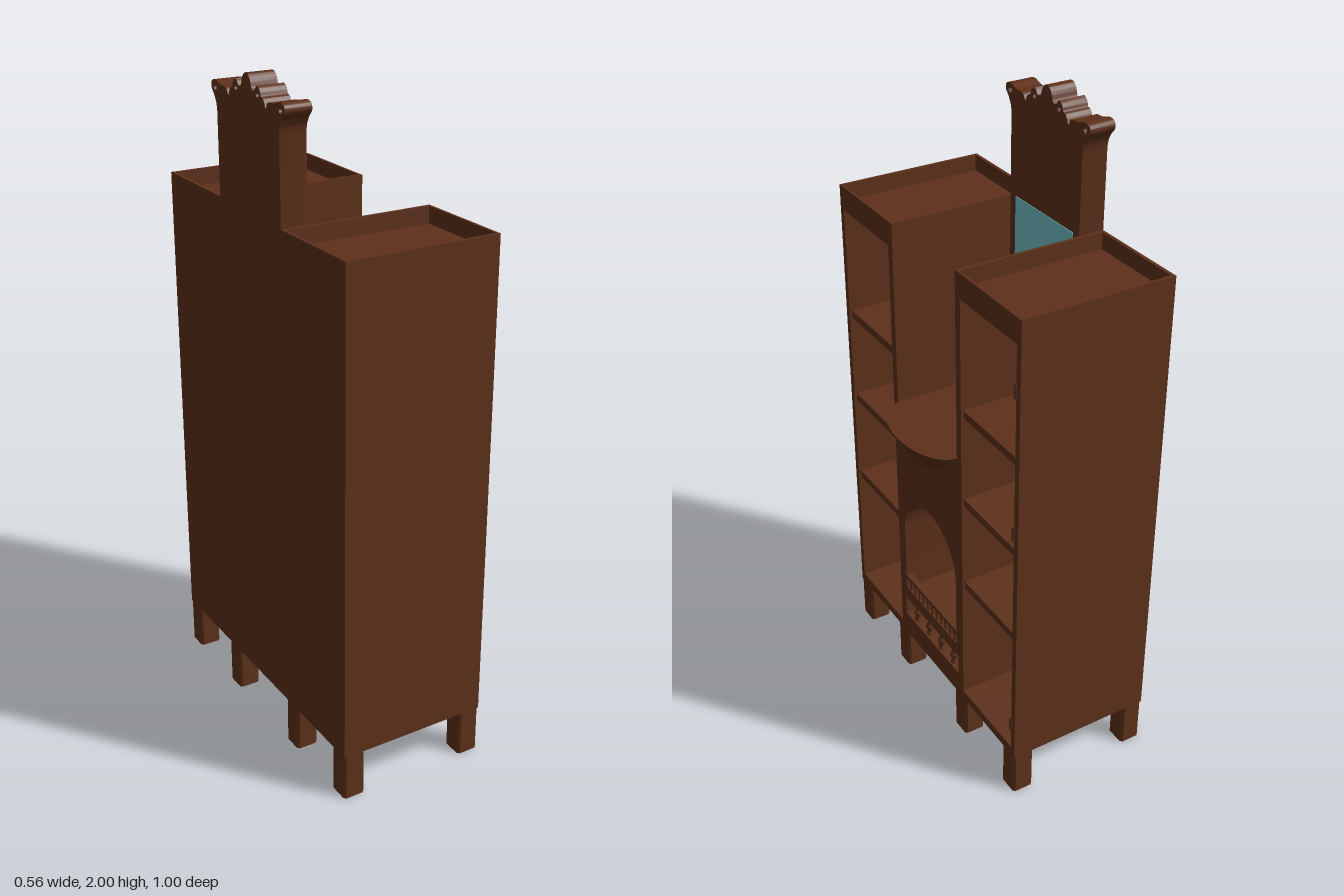
import * as THREE from 'three';
import { toCreasedNormals } from 'three/addons/utils/BufferGeometryUtils.js';

const wood = new THREE.MeshStandardMaterial({ color: 0x5e311b });
const glass = new THREE.MeshStandardMaterial({ color: 0x74c4cc });

const BACK = -0.285, FRONT = 0.185, BASE = 0.145, MANTEL = 1.04;
const HALF = 0.175; // half width of the centre bay

function add(parent, name, geometry, material = wood) {
  const mesh = new THREE.Mesh(geometry, material);
  mesh.name = name;
  parent.add(mesh);
  return mesh;
}

// Box given by its limits on each axis
function box(parent, name, x0, x1, y0, y1, z0, z1, material) {
  const g = new THREE.BoxGeometry(Math.abs(x1 - x0), y1 - y0, z1 - z0);
  g.translate((x0 + x1) / 2, (y0 + y1) / 2, (z0 + z1) / 2);
  return add(parent, name, g, material);
}

function extrude(shape, z0, z1) {
  const g = new THREE.ExtrudeGeometry(shape, { depth: z1 - z0, bevelEnabled: false, curveSegments: 24 });
  return toCreasedNormals(g.translate(0, 0, z0), 0.6);
}

function rectPath(x0, x1, y0, y1) {
  return new THREE.Path([[x0, y0], [x0, y1], [x1, y1], [x1, y0]].map(p => new THREE.Vector2(...p)));
}

// Open bookcase tower with a tray top; s is the side (+1 or -1)
function tower(s, top) {
  const g = new THREE.Group();
  g.name = s > 0 ? 'rightTower' : 'leftTower';
  const lid = top - 0.05, head = top - 0.075;
  box(g, 'outerSide', s * 0.48, s * 0.5, BASE, lid, BACK, FRONT);
  box(g, 'innerSide', s * HALF, s * 0.2, BASE, lid, BACK, FRONT);
  box(g, 'backPanel', s * 0.2, s * 0.48, BASE, lid, BACK, BACK + 0.015);
  box(g, 'bottomPanel', s * 0.2, s * 0.48, BASE, 0.175, BACK + 0.015, FRONT);
  box(g, 'topPanel', s * 0.2, s * 0.48, head, lid, BACK + 0.015, FRONT);
  // Raised rim round the top
  box(g, 'outerRim', s * 0.49, s * 0.5, lid, top, BACK, FRONT);
  box(g, 'innerRim', s * HALF, s * 0.186, lid, top, BACK, FRONT);
  box(g, 'backRim', s * 0.186, s * 0.49, lid, top, BACK, BACK + 0.01);
  box(g, 'frontRim', s * 0.186, s * 0.49, lid, top, FRONT - 0.008, FRONT);
  for (const y of [0.585, 0.885, 1.185]) {
    box(g, 'shelf', s * 0.2, s * 0.48, y, y + 0.025, BACK + 0.015, FRONT - 0.008);
  }
  for (const y of [0.27, 0.97, 1.42]) {
    add(g, 'hinge', new THREE.CylinderGeometry(0.005, 0.005, 0.045, 10)).position.set(s * 0.477, y, FRONT);
  }
  return g;
}

// Chimney block with arched hearth, grate and a baluster slot
function hearth() {
  const g = new THREE.Group();
  g.name = 'hearth';
  const face = new THREE.Shape([[-HALF, BASE], [HALF, BASE], [HALF, MANTEL], [-HALF, MANTEL]]
    .map(p => new THREE.Vector2(...p)));
  const arch = new THREE.Path();
  arch.moveTo(-0.16, 0.34).lineTo(0.16, 0.34).lineTo(0.16, 0.58);
  arch.absarc(0, 0.58, 0.16, 0, Math.PI, false);
  arch.lineTo(-0.16, 0.34);
  face.holes.push(arch, rectPath(-0.17, 0.17, 0.225, 0.295));
  add(g, 'chimneyBlock', extrude(face, -0.22, FRONT));
  box(g, 'hearthBack', -HALF, HALF, BASE, MANTEL, BACK, -0.22);

  // Grate
  box(g, 'grateRail', -0.16, 0.16, 0.378, 0.39, FRONT - 0.02, FRONT);
  for (let i = 0; i < 11; i++) {
    const x = -0.14 + i * 0.028;
    box(g, 'grateBar', x - 0.005, x + 0.005, 0.34, 0.378, FRONT - 0.015, FRONT - 0.003);
  }

  // Balusters in front of the lower slot
  box(g, 'slotBack', -0.17, 0.17, 0.225, 0.295, FRONT - 0.09, FRONT - 0.07);
  const profile = [[0.011, 0], [0.011, 0.008], [0.005, 0.014], [0.014, 0.03], [0.012, 0.038],
    [0.005, 0.05], [0.011, 0.06], [0.011, 0.07]].map(p => new THREE.Vector2(...p));
  for (const x of [-0.118, -0.039, 0.039, 0.118]) {
    add(g, 'baluster', new THREE.LatheGeometry(profile, 14)).position.set(x, 0.225, FRONT - 0.016);
  }

  // Flared half-oval mantel shelf
  const shelf = new THREE.CylinderGeometry(1, 0.4, 1, 40, 1, false, -Math.PI / 2, Math.PI);
  shelf.scale(HALF, 0.1, 0.095).translate(0, 0.99, FRONT);
  add(g, 'mantelShelf', shelf);
  return g;
}

// Tall back board with scrolled crest and mirror
function overmantel() {
  const g = new THREE.Group();
  g.name = 'overmantel';
  const right = [[0.178, 1.89], [0.19, 1.912], [0.205, 1.93], [0.202, 1.948], [0.18, 1.954],
    [0.15, 1.945], [0.118, 1.942], [0.105, 1.925], [0.094, 1.945], [0.08, 1.952], [0.074, 1.967],
    [0.058, 1.976], [0.044, 1.96], [0.03, 1.964], [0.022, 1.985], [0.01, 1.998]];
  const crest = [...right, [0, 2], ...right.map(([x, y]) => [-x, y]).reverse()]
    .map(p => new THREE.Vector2(...p));
  const board = new THREE.Shape();
  board.moveTo(-HALF, MANTEL).lineTo(HALF, MANTEL).lineTo(HALF, 1.87).lineTo(crest[0].x, crest[0].y);
  board.splineThru(crest.slice(1));
  board.lineTo(-HALF, 1.87);
  // Pierced eyes of the scrolls
  for (const [x, y, r] of [[0.183, 1.933, 0.009], [0.06, 1.952, 0.008]]) {
    for (const s of [-1, 1]) {
      const eye = new THREE.Path();
      eye.absarc(s * x, y, r, 0, Math.PI * 2, true);
      board.holes.push(eye);
    }
  }
  const geo = new THREE.ExtrudeGeometry(board, { depth: 0.08, bevelEnabled: false, curveSegments: 3 * crest.length > 90 ? 4 : 6 });
  add(g, 'crestedBoard', toCreasedNormals(geo.translate(0, 0, BACK), 0.6));
  box(g, 'mirror', -0.145, 0.145, 1.09, 1.63, -0.206, -0.203, glass);
  return g;
}

// Square legs with slightly chamfered corners
function legs() {
  const g = new THREE.Group();
  g.name = 'legs';
  const a = 0.034, b = 0.027;
  const section = new THREE.Shape([[a, -b], [a, b], [b, a], [-b, a], [-a, b], [-a, -b], [-b, -a], [b, -a]]
    .map(p => new THREE.Vector2(...p)));
  const leg = new THREE.ExtrudeGeometry(section, { depth: BASE, bevelEnabled: false }).rotateX(-Math.PI / 2);
  for (const x of [-0.466, -0.195, 0.18, 0.466]) {
    for (const z of [BACK + a, FRONT - a]) add(g, 'leg', leg).position.set(x, 0, z);
  }
  return g;
}

export function createModel() {
  const model = new THREE.Group();
  model.name = 'fireplaceCabinet';
  const cabinet = new THREE.Group();
  cabinet.name = 'cabinet';
  cabinet.add(tower(-1, 1.622), tower(1, 1.63), hearth(), overmantel(), legs());
  cabinet.rotation.y = Math.PI / 2; // open side faces +x
  model.add(cabinet);
  return model;
}
